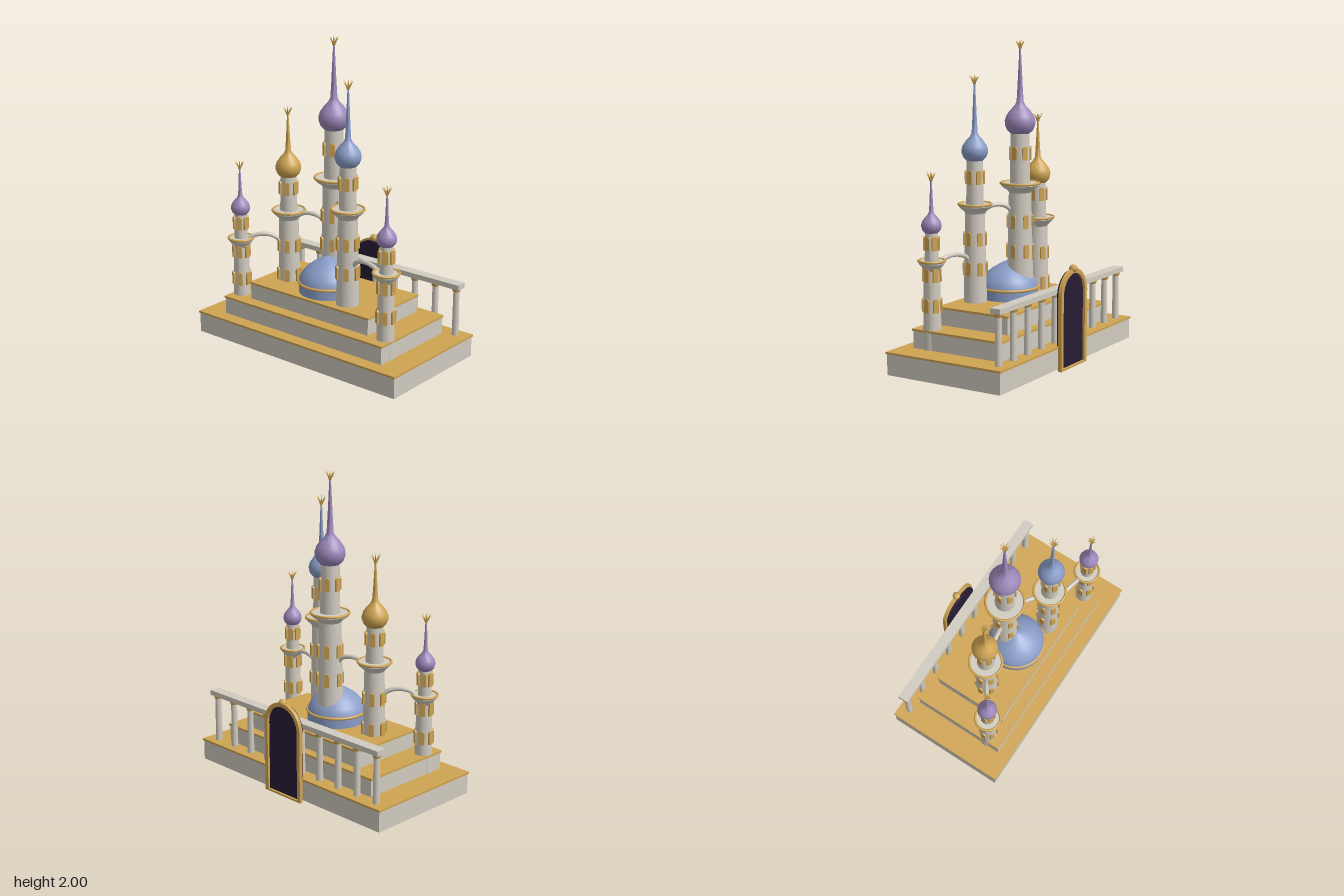
import * as THREE from 'three';
import { toCreasedNormals } from 'three/addons/utils/BufferGeometryUtils.js';

const material = (name, color, side = THREE.FrontSide) => {
  const m = new THREE.MeshStandardMaterial({ color, side });
  m.name = name;
  return m;
};

export function createModel() {
  const model = new THREE.Group();
  model.name = 'palace';
  const stone = material('stone', 0xd0cbc0);
  const gold = material('gold', 0xcfa452);
  const purple = material('purple', 0x9c88ba);
  const blue = material('blue', 0x8a9dc8);
  const dark = material('dark', 0x281c34);

  const add = (parent, name, geometry, mat, x = 0, y = 0, z = 0) => {
    const mesh = new THREE.Mesh(geometry, mat);
    mesh.name = name;
    mesh.position.set(x, y, z);
    parent.add(mesh);
    return mesh;
  };
  const box = (parent, name, mat, w, h, d, x, y, z) =>
    add(parent, name, new THREE.BoxGeometry(w, h, d), mat, x, y, z);
  const lathe = (points, crease = 0.6) => toCreasedNormals(
    new THREE.LatheGeometry(points.map(([r, y]) => new THREE.Vector2(r, y)), 32), crease);
  const ring = (parent, name, r, tube, x, y, z) => {
    const mesh = add(parent, name, new THREE.TorusGeometry(r, tube, 10, 36), gold, x, y, z);
    mesh.rotation.x = Math.PI / 2;
    return mesh;
  };
  // Round-topped outline standing on y = 0
  const archOutline = (Type, halfWidth, height, bottom = 0) => {
    const s = new Type();
    s.moveTo(-halfWidth, bottom);
    s.lineTo(halfWidth, bottom);
    s.lineTo(halfWidth, height - halfWidth);
    s.absarc(0, height - halfWidth, halfWidth, 0, Math.PI, false);
    s.lineTo(-halfWidth, bottom);
    return s;
  };
  const extrude = (shape, depth) =>
    new THREE.ExtrudeGeometry(shape, { depth, bevelEnabled: false, curveSegments: 16 });

  // Three stepped terraces with gold tops
  const tiers = [
    [0.795, -0.382, 0.42, 0.012, 0.142],
    [0.637, -0.285, 0.34, 0.142, 0.262],
    [0.478, -0.23, 0.267, 0.262, 0.376],
  ];
  for (const [hx, z0, z1, y0, y1] of tiers) {
    const d = z1 - z0, z = (z0 + z1) / 2;
    box(model, 'terrace', stone, hx * 2, y1 - y0, d, 0, (y0 + y1) / 2, z);
    box(model, 'terraceTop', gold, hx * 2 + 0.012, 0.013, d + 0.012, 0, y1 + 0.0065, z);
  }

  // Great dome on the upper terrace
  const hall = new THREE.Group();
  hall.name = 'greatDome';
  hall.position.set(0, 0.385, 0.065);
  model.add(hall);
  add(hall, 'domeDrum', new THREE.CylinderGeometry(0.186, 0.186, 0.07, 40, 1, true), blue, 0, 0.035, 0);
  add(hall, 'domeShell', lathe([[0.186, 0.07], [0.181, 0.095], [0.165, 0.125], [0.135, 0.16],
    [0.1, 0.187], [0.065, 0.208], [0.03, 0.227], [0, 0.24]], 0.8), blue);
  ring(hall, 'domeRing', 0.187, 0.009, 0, 0.07, 0);

  // Towers: shaft, balcony, lantern, onion dome, spire and crown
  const windowPlate = extrude(archOutline(THREE.Shape, 0.016, 0.085), 0.012);
  const windowRow = (parent, y, r) => {
    for (let i = 0; i < 6; i++) {
      const a = Math.PI / 6 + i * Math.PI / 3;
      const mesh = add(parent, 'window', windowPlate, gold,
        Math.sin(a) * (r - 0.003), y - 0.042, Math.cos(a) * (r - 0.003));
      mesh.rotation.y = a;
    }
  };

  const crown = (parent, y) => {
    const up = new THREE.Vector3(0, 1, 0);
    const spike = new THREE.ConeGeometry(0.006, 0.062, 6);
    spike.translate(0, 0.031, 0);
    add(parent, 'crownBall', new THREE.SphereGeometry(0.011, 12, 8), gold, 0, y + 0.008, 0);
    add(parent, 'crownSpike', spike, gold, 0, y, 0);
    for (let i = 0; i < 8; i++) {
      const a = i * Math.PI / 4;
      const dir = new THREE.Vector3(Math.sin(a) * 0.6, 1, Math.cos(a) * 0.6).normalize();
      add(parent, 'crownSpike', spike, gold, 0, y, 0).quaternion.setFromUnitVectors(up, dir);
    }
  };

  const towers = [
    { x: -0.015, z: -0.01, base: 0.093, top: 0.07, upper: 0.063, rim: 0.12, balcony: 1.11, neck: 1.42, bulb: 0.095, tip: 2.0, rows: [0.875, 0.69], lantern: 1.3, roof: purple },
    { x: 0.235, z: 0.16, base: 0.08, top: 0.06, upper: 0.054, rim: 0.1, balcony: 0.995, neck: 1.265, bulb: 0.081, tip: 1.79, rows: [0.785, 0.6], lantern: 1.165, roof: blue },
    { x: -0.335, z: 0.055, base: 0.079, top: 0.062, upper: 0.055, rim: 0.103, balcony: 0.85, neck: 1.075, bulb: 0.081, tip: 1.53, rows: [0.625, 0.43], lantern: 1.005, roof: gold },
    { x: -0.588, z: 0.235, base: 0.06, top: 0.048, upper: 0.042, rim: 0.079, balcony: 0.655, neck: 0.815, bulb: 0.061, tip: 1.175, rows: [0.575, 0.39], lantern: 0.762, roof: purple },
    { x: 0.588, z: 0.235, base: 0.06, top: 0.048, upper: 0.042, rim: 0.079, balcony: 0.69, neck: 0.86, bulb: 0.061, tip: 1.23, rows: [0.61, 0.425], lantern: 0.8, roof: purple },
  ];
  for (const t of towers) {
    const g = new THREE.Group();
    g.name = 'tower';
    g.position.set(t.x, 0, t.z);
    model.add(g);
    const b = t.balcony, k = t.bulb / 0.095;
    add(g, 'shaft', lathe([[t.base, 0.02], [t.top, b - 0.05]]), stone);
    add(g, 'balcony', lathe([[t.top, b - 0.055], [t.top * 1.15, b - 0.04], [t.rim * 0.92, b - 0.02],
      [t.rim, b - 0.01], [t.rim, b + 0.004], [0, b + 0.004]]), stone);
    ring(g, 'balconyRim', t.rim, 0.008, 0, b + 0.003, 0);
    add(g, 'lantern', lathe([[t.upper, b], [t.upper * 0.93, t.neck + 0.01]]), stone);
    // Onion dome drawn out into a spire
    const spireTop = t.tip - 0.058;
    const onion = [[0.058, 0], [0.082, 0.024], [0.094, 0.055], [0.095, 0.08], [0.086, 0.11],
      [0.062, 0.145], [0.036, 0.172], [0.022, 0.198]].map(([r, y]) => [r * k, t.neck + y * k]);
    const y1 = t.neck + 0.198 * k;
    add(g, 'onionDome', lathe([[0, t.neck], ...onion,
      [0.016 * k, y1 + (spireTop - y1) * 0.3], [0.005, spireTop]], 0.9), t.roof);
    for (const y of t.rows) {
      const r = t.base + (t.top - t.base) * (y - 0.02) / (b - 0.07);
      windowRow(g, y, r);
    }
    windowRow(g, t.lantern, t.upper * 0.96);
    crown(g, spireTop);
  }

  // Arched bridges linking neighbouring towers
  const bridge = (from, to, y, rise) => {
    const dir = new THREE.Vector3(to.x - from.x, 0, to.z - from.z);
    const length = dir.length();
    dir.normalize();
    const s0 = from.top * 0.9, s1 = length - to.top * 0.9;
    const points = [];
    for (let i = 0; i <= 12; i++) {
      const a = Math.PI * i / 12;
      const s = (s0 + s1) / 2 - Math.cos(a) * (s1 - s0) / 2;
      points.push(new THREE.Vector3(from.x + dir.x * s, y + Math.sin(a) * rise, from.z + dir.z * s));
    }
    add(model, 'bridge', new THREE.TubeGeometry(new THREE.CatmullRomCurve3(points), 32, 0.014, 10), stone);
  };
  const [main, right, left, farLeft, farRight] = towers;
  bridge(farLeft, left, 0.625, 0.062);
  bridge(left, main, 0.795, 0.058);
  bridge(main, right, 0.93, 0.056);
  bridge(right, farRight, 0.64, 0.065);

  // Colonnade along the back
  box(model, 'handrail', stone, 1.5, 0.032, 0.07, 0, 0.482, -0.32);
  for (let i = 0; i < 10; i++) {
    const x = -0.713 + i * 1.426 / 9;
    add(model, 'column', new THREE.CylinderGeometry(0.019, 0.022, 0.29, 16), stone, x, 0.3, -0.32);
    add(model, 'capital', new THREE.CylinderGeometry(0.029, 0.022, 0.024, 16), gold, x, 0.454, -0.32);
  }

  // Arched doorway on the back wall
  add(model, 'doorPanel', extrude(archOutline(THREE.Shape, 0.142, 0.6, 0.006), 0.026), dark, 0, 0, -0.397);
  const frame = archOutline(THREE.Shape, 0.157, 0.613);
  frame.holes.push(archOutline(THREE.Path, 0.131, 0.587, 0.012));
  add(model, 'doorFrame', extrude(frame, 0.024), gold, 0, 0, -0.412);
  add(model, 'doorFinial', new THREE.IcosahedronGeometry(0.026, 1), gold, 0, 0.615, -0.402);

  return model;
}
